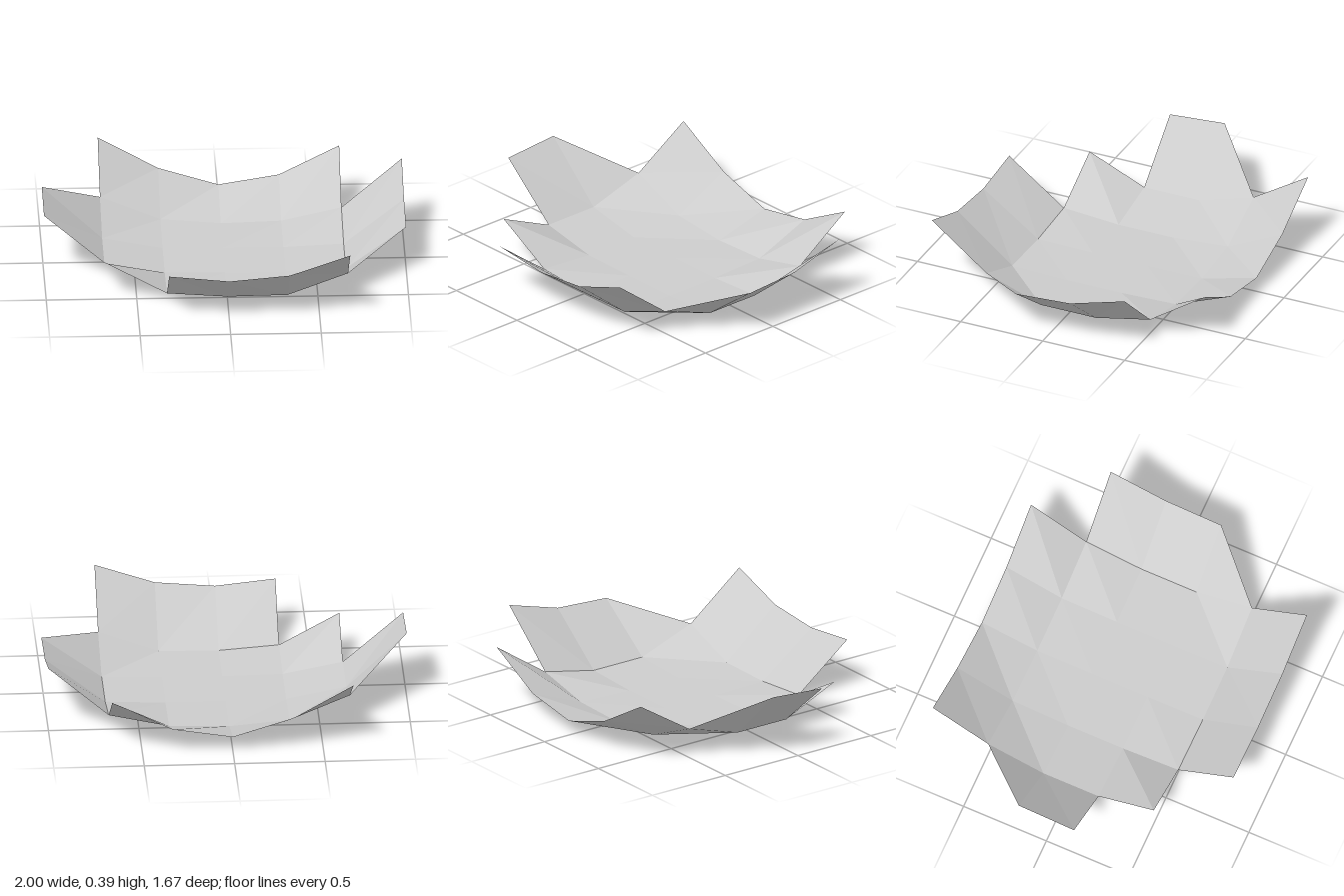
import * as THREE from 'three';

// Corner heights of the sheet on a square lattice: rows run back to front, columns run from -x to +x.
// null marks a corner that is cut away.
const STEP = 1 / 3;
const HEIGHTS = [
  [null, 0.38, 0.19, 0.085, 0.14, 0.31, null],
  [null, 0.17, 0.03, 0.0, 0.01, 0.085, 0.375],
  [0.385, 0.07, 0.005, 0.0, 0.0, 0.015, 0.28],
  [0.36, 0.07, 0.005, 0.0, 0.0, 0.015, 0.26],
  [null, 0.215, 0.03, 0.005, 0.01, 0.135, null],
  [null, null, 0.28, 0.245, 0.275, 0.39, null],
];

// Faceted sheet: two triangles per cell, kept only where all corners exist
function sheetGeometry(heights) {
  const positions = [];
  const corner = (r, c) => {
    const y = heights[r]?.[c];
    return y == null ? null : [(c - 3) * STEP, y, (r - 2.5) * STEP];
  };
  const addTriangle = (...corners) => {
    if (corners.every(Boolean)) positions.push(...corners.flat());
  };
  for (let r = 0; r < heights.length - 1; r++) {
    for (let c = 0; c < heights[r].length - 1; c++) {
      const backLeft = corner(r, c), backRight = corner(r, c + 1);
      const frontLeft = corner(r + 1, c), frontRight = corner(r + 1, c + 1);
      addTriangle(backLeft, frontLeft, backRight);
      addTriangle(backRight, frontLeft, frontRight);
    }
  }
  const geometry = new THREE.BufferGeometry();
  geometry.setAttribute('position', new THREE.Float32BufferAttribute(positions, 3));
  geometry.computeVertexNormals();
  return geometry;
}

export function createModel() {
  const group = new THREE.Group();
  group.name = 'shallowDish';
  const paleGrey = new THREE.MeshStandardMaterial({
    color: 0xcccccc, flatShading: true, side: THREE.DoubleSide,
  });
  paleGrey.name = 'paleGrey';

  // Curved dish with raised flaps around its rim
  const dish = new THREE.Mesh(sheetGeometry(HEIGHTS), paleGrey);
  dish.name = 'dishSheet';
  group.add(dish);
  return group;
}
